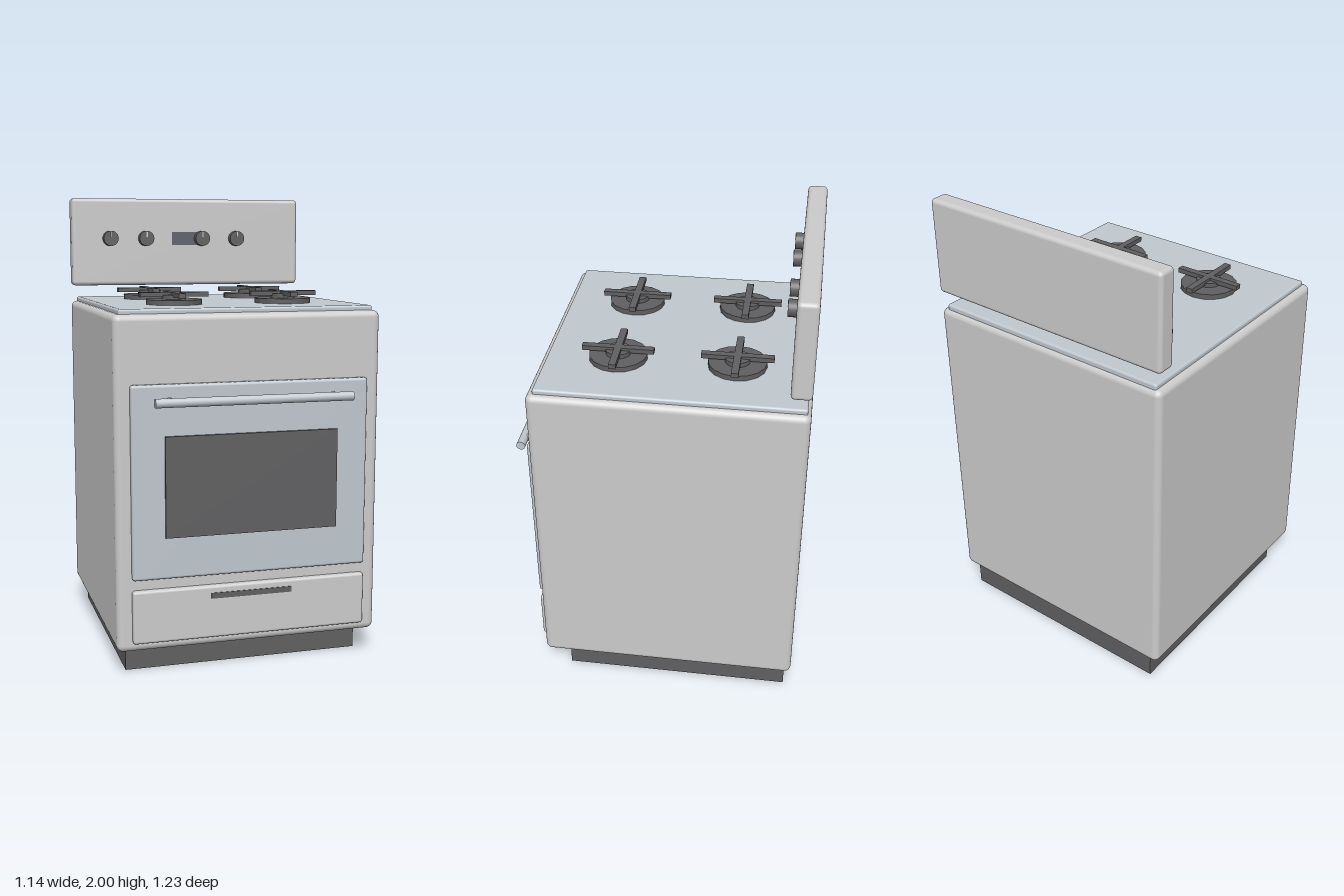
import * as THREE from 'three';
import { RoundedBoxGeometry } from 'three/addons/geometries/RoundedBoxGeometry.js';

const enamel = new THREE.MeshStandardMaterial({ color: 0xcccccc });
const steel = new THREE.MeshStandardMaterial({ color: 0xc0c8ce });
const dark = new THREE.MeshStandardMaterial({ color: 0x606062 });
const glass = new THREE.MeshStandardMaterial({ color: 0x5c6068 });

function add(parent, name, geometry, material, x = 0, y = 0, z = 0) {
  const mesh = new THREE.Mesh(geometry, material);
  mesh.name = name;
  mesh.position.set(x, y, z);
  parent.add(mesh);
  return mesh;
}

// Box given by its extents, with rounded edges when r > 0
function block(parent, name, material, [x0, x1], [y0, y1], [z0, z1], r = 0) {
  const size = [x1 - x0, y1 - y0, z1 - z0];
  const geometry = r ? new RoundedBoxGeometry(...size, 3, r) : new THREE.BoxGeometry(...size);
  return add(parent, name, geometry, material, (x0 + x1) / 2, (y0 + y1) / 2, (z0 + z1) / 2);
}

// Thin-walled plinth, open underneath
function plinthGeometry(w, d, h, t) {
  const rect = (a, b, path) => path.moveTo(-a, -b).lineTo(a, -b).lineTo(a, b).lineTo(-a, b).closePath();
  const shape = rect(w / 2, d / 2, new THREE.Shape());
  shape.holes.push(rect(w / 2 - t, d / 2 - t, new THREE.Path()));
  return new THREE.ExtrudeGeometry(shape, { depth: h, bevelEnabled: false }).rotateX(-Math.PI / 2);
}

function makeBurner() {
  const burner = new THREE.Group();
  burner.name = 'burner';
  add(burner, 'burnerDisc', new THREE.CylinderGeometry(0.122, 0.122, 0.022, 16), dark, 0, 0.011, 0);
  add(burner, 'burnerCap', new THREE.CylinderGeometry(0.053, 0.053, 0.02, 16), dark, 0, 0.031, 0);
  for (const size of [[0.3, 0.02, 0.03], [0.03, 0.02, 0.3]]) {
    add(burner, 'grateBar', new THREE.BoxGeometry(...size), dark, 0, 0.042, 0);
  }
  return burner;
}

function makeKnob() {
  const knob = new THREE.Group();
  knob.name = 'knob';
  add(knob, 'knobBody', new THREE.CylinderGeometry(0.036, 0.036, 0.04, 24).rotateX(Math.PI / 2), dark, 0, 0, 0.018);
  add(knob, 'knobPointer', new THREE.BoxGeometry(0.006, 0.026, 0.004), enamel, 0, 0.02, 0.038);
  return knob;
}

export function createModel() {
  const stove = new THREE.Group();
  stove.name = 'stove';

  // Cabinet
  add(stove, 'plinth', plinthGeometry(1.035, 1.0, 0.125, 0.004), dark, 0, 0, -0.086);
  block(stove, 'body', enamel, [-0.57, 0.57], [0.115, 1.51], [-0.615, 0.52], 0.028);
  block(stove, 'cooktop', steel, [-0.543, 0.543], [1.495, 1.53], [-0.6, 0.493], 0.01);

  // Burners
  for (const x of [-0.245, 0.245]) {
    for (const z of [-0.3, 0.195]) {
      const burner = makeBurner();
      burner.position.set(x, 1.53, z);
      stove.add(burner);
    }
  }

  // Control panel with knobs and display
  block(stove, 'backPanel', enamel, [-0.57, 0.57], [1.585, 2], [-0.613, -0.528], 0.018);
  block(stove, 'display', glass, [-0.08, 0.08], [1.778, 1.842], [-0.535, -0.525]);
  for (const x of [-0.387, -0.212, 0.068, 0.244]) {
    const knob = makeKnob();
    knob.position.set(x, 1.81, -0.528);
    stove.add(knob);
  }

  // Oven door
  block(stove, 'ovenDoor', steel, [-0.507, 0.507], [0.425, 1.23], [0.505, 0.545], 0.012);
  block(stove, 'doorWindow', dark, [-0.37, 0.37], [0.6, 1.02], [0.54, 0.556]);
  add(stove, 'doorHandle', new THREE.CylinderGeometry(0.019, 0.019, 0.84, 20).rotateZ(Math.PI / 2), steel, 0, 1.163, 0.596);
  for (const x of [-0.35, 0.35]) {
    add(stove, 'handlePost', new THREE.CylinderGeometry(0.015, 0.015, 0.06, 16).rotateX(Math.PI / 2), steel, x, 1.163, 0.566);
  }

  // Storage drawer
  block(stove, 'drawer', enamel, [-0.507, 0.507], [0.155, 0.38], [0.505, 0.545], 0.012);
  block(stove, 'drawerPull', dark, [-0.175, 0.175], [0.326, 0.35], [0.54, 0.548]);

  return stove;
}
